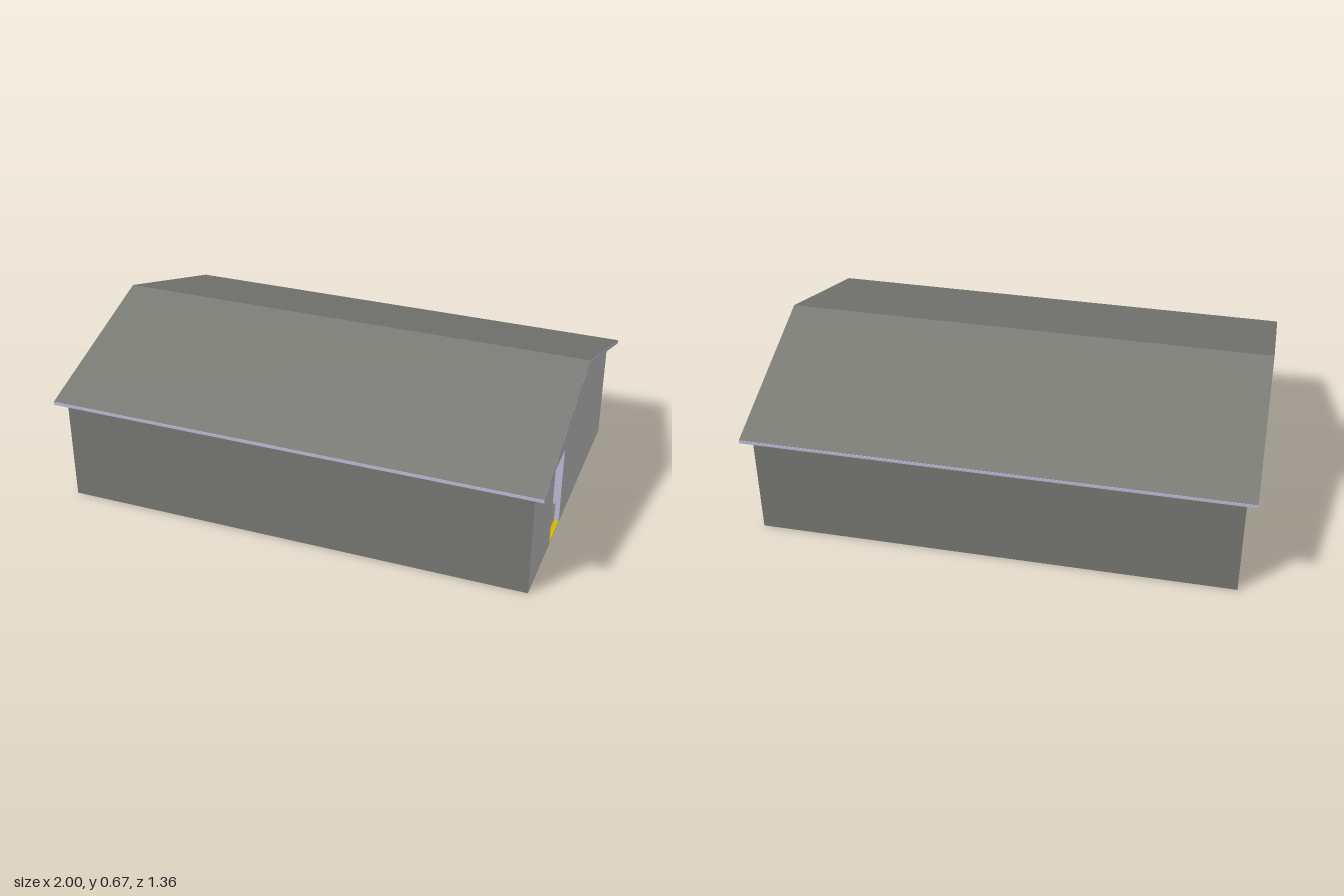
import * as THREE from 'three';

const mat = (name, color, side = THREE.FrontSide) => {
  const m = new THREE.MeshStandardMaterial({ color, side });
  m.name = name;
  return m;
};

export function createModel() {
  const model = new THREE.Group();
  model.name = 'house';

  const darkGray = mat('darkGray', 0x787873);
  const lightGray = mat('lightGray', 0xc2c2c2);
  const lavender = mat('lavender', 0xbdbddb, THREE.DoubleSide);
  const brown = mat('brown', 0x784526);
  const yellow = mat('yellow', 0xd9b800);

  const X = 0.96, Z = 0.643, T = 0.02;          // outer half sizes, wall thickness
  const EAVE_Y = 0.442, PEAK_Y = 0.656, DOOR_Y = 0.34;

  const add = (name, geo, material, parent = model) => {
    const mesh = new THREE.Mesh(geo, material);
    mesh.name = name;
    parent.add(mesh);
    return mesh;
  };
  // Box given by its limits; open at the bottom when hollow
  const block = (name, x0, x1, y0, y1, z0, z1, material, hollow = false) => {
    const geo = new THREE.BoxGeometry(x1 - x0, y1 - y0, z1 - z0);
    if (hollow) {
      const idx = Array.from(geo.index.array);
      idx.splice(18, 6);
      geo.setIndex(idx);
      geo.clearGroups();
    }
    geo.translate((x0 + x1) / 2, (y0 + y1) / 2, (z0 + z1) / 2);
    return add(name, geo, material);
  };

  // Gable walls: outer and inner skin with a doorway, and its lining
  const gable = (side, d0, d1, outer) => {
    const a = side > 0 ? -d1 : d0, b = side > 0 ? -d0 : d1;
    const outline = (w, eave) => new THREE.ShapeGeometry(new THREE.Shape([
      [-w, 0], [a, 0], [a, DOOR_Y], [b, DOOR_Y], [b, 0], [w, 0], [w, eave], [0, PEAK_Y], [-w, eave],
    ].map(p => new THREE.Vector2(...p))));
    const skins = [['gableWallOutside', Z, X, outer], ['gableWallInside', Z - 0.001, X - T, lavender]];
    for (const [name, w, x, m] of skins) {
      const geo = outline(w, EAVE_Y);
      geo.rotateY(side * Math.PI / 2).translate(side * x, 0, 0);
      add(name, geo, m);
    }
    const xs = side > 0 ? [X - T, X - 0.001] : [-X + 0.001, -X + T];
    block('doorJamb', ...xs, 0, DOOR_Y, d0 - 0.003, d0, lavender);
    block('doorJamb', ...xs, 0, DOOR_Y, d1, d1 + 0.003, lavender);
    block('doorHead', ...xs, DOOR_Y, DOOR_Y + 0.003, d0, d1, lavender);
    block('doorThreshold', ...xs, 0, 0.005, d0, d1, yellow);
  };
  gable(1, 0.14, 0.305, lightGray);
  gable(-1, 0.385, 0.54, darkGray);

  // Long walls: outer and inner skin
  for (const s of [1, -1]) {
    for (const [name, w, z, m] of [['longWallOutside', X, Z, darkGray], ['longWallInside', X - 0.001, Z - T, lavender]]) {
      const geo = new THREE.PlaneGeometry(2 * w, EAVE_Y);
      geo.rotateY(s > 0 ? 0 : Math.PI).translate(0, EAVE_Y / 2, s * z);
      add(name, geo, m);
    }
  }

  // Roof: folded slab with a gray covering on each slope
  const RZ = 0.68, LOW = 0.43, TOP = 0.443, RIDGE = 0.67, THICK = TOP - LOW;
  const section = new THREE.Shape([
    [-RZ, LOW], [0, RIDGE - THICK], [RZ, LOW], [RZ, TOP], [0, RIDGE], [-RZ, TOP],
  ].map(p => new THREE.Vector2(...p)));
  const slab = new THREE.ExtrudeGeometry(section, { depth: 2, bevelEnabled: false });
  slab.rotateY(Math.PI / 2).translate(-1, 0, 0);
  add('roofSlab', slab, lavender);
  const rise = RIDGE - TOP;
  for (const s of [1, -1]) {
    const cover = new THREE.PlaneGeometry(2, Math.hypot(RZ, rise));
    cover.rotateX(-Math.PI / 2 + Math.atan2(rise, RZ));
    cover.translate(0, (RIDGE + TOP) / 2 + 0.001, RZ / 2);
    if (s < 0) cover.rotateY(Math.PI);
    add('roofCovering', cover, darkGray);
  }

  // Inner partitions, along x or z, each with optional doorways [from, to]
  const WALL_Y = 0.43, H = T / 2;
  const partition = (axis, at, from, to, doors = [], threshold = true) => {
    const piece = (name, a, b, y0, y1, m, hollow) => axis === 'x'
      ? block(name, a, b, y0, y1, at - H, at + H, m, hollow)
      : block(name, at - H, at + H, y0, y1, a, b, m, hollow);
    let start = from;
    for (const [d0, d1] of doors) {
      piece('partition', start, d0, 0, WALL_Y, lavender, true);
      piece('partitionHeader', d0, d1, DOOR_Y, WALL_Y, lavender, false);
      if (threshold) piece('innerThreshold', d0, d1, 0.001, 0.005, yellow, false);
      start = d1;
    }
    piece('partition', start, to, 0, WALL_Y, lavender, true);
  };
  partition('x', 0.01, 0.31, 0.94);
  partition('z', 0.32, -0.623, 0.02, [[-0.55, -0.4], [-0.23, -0.07]]);
  partition('x', -0.325, -0.3, 0.31, [[-0.08, 0.09]]);
  partition('z', -0.31, -0.623, -0.19);
  partition('x', -0.2, -0.94, -0.32, [[-0.55, -0.4]]);
  partition('x', 0.035, -0.94, 0.08);
  partition('z', -0.735, -0.19, 0.025, [[-0.17, 0.005]], false);

  // Floors, set between the walls
  const floors = [
    ['entryFloor', 0.31, 0.94, 0.02, 0.623, darkGray],
    ['backRoomFloor', 0.33, 0.94, -0.623, 0, darkGray],
    ['bathFloor', -0.3, 0.31, -0.623, -0.335, lightGray],
    ['cornerRoomFloor', -0.94, -0.32, -0.623, -0.21, darkGray],
    ['livingFloor', -0.94, 0.31, 0.045, 0.623, brown],
    ['hallFloor', -0.3, 0.31, -0.315, 0.025, brown],
    ['hallLinkFloor', 0.08, 0.31, 0.025, 0.045, brown],
    ['corridorFloor', -0.94, -0.3, -0.19, 0.025, brown],
  ];
  for (const [name, x0, x1, z0, z1, m] of floors) block(name, x0, x1, 0.002, 0.004, z0, z1, m);

  return model;
}
